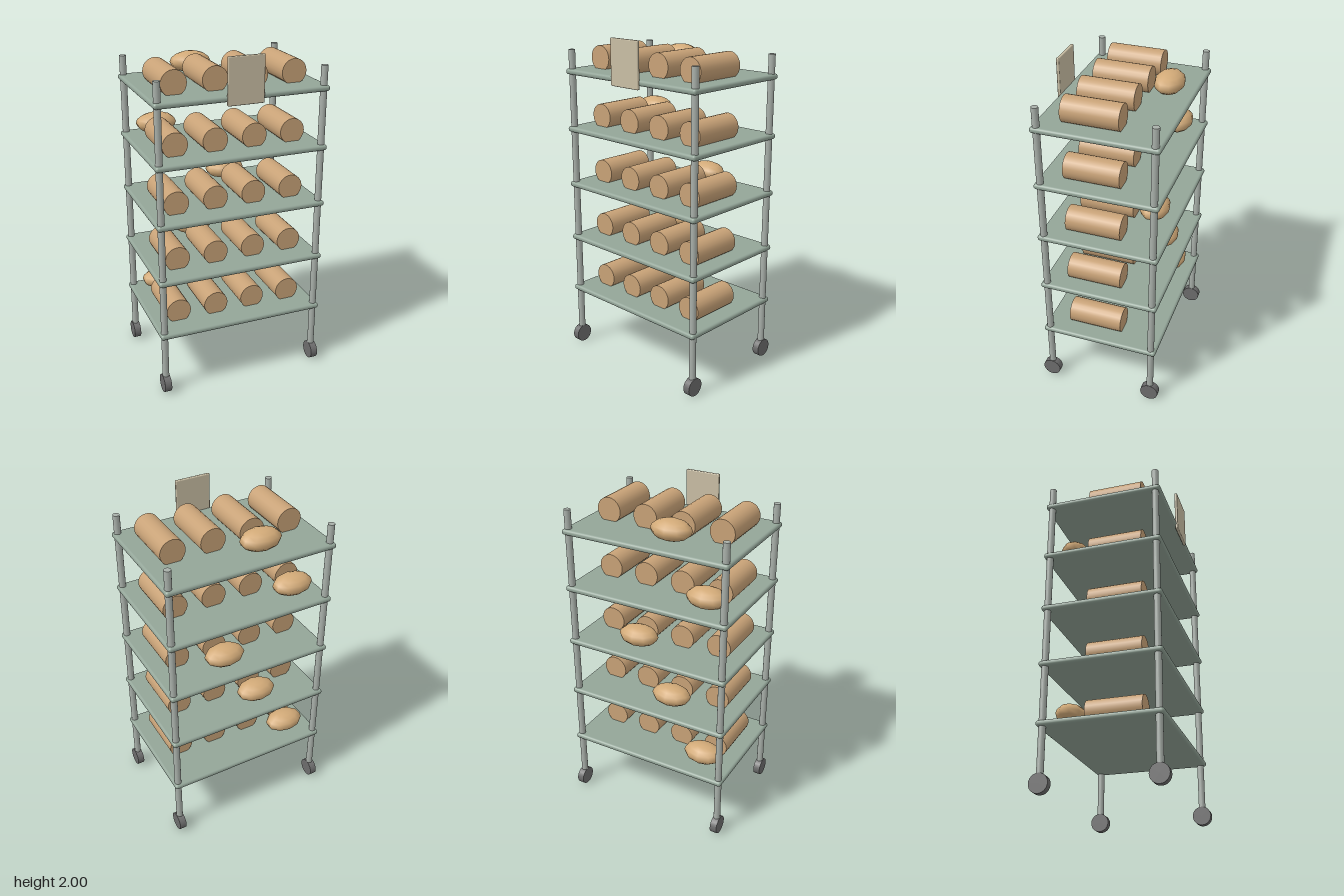
import * as THREE from 'three';
import { RoundedBoxGeometry } from 'three/addons/geometries/RoundedBoxGeometry.js';

const material = (name, color) => {
  const m = new THREE.MeshStandardMaterial({ color });
  m.name = name;
  return m;
};

export function createModel() {
  const model = new THREE.Group();
  model.name = 'breadRack';

  const metal = material('steel', 0xa9b0aa);
  const shelfGreen = material('shelf green', 0x93a598);
  const rubber = material('wheel grey', 0x6c6c6c);
  const crust = material('loaf crust', 0xc8a277);
  const bun = material('round loaf crust', 0xd2aa78);
  const cardBeige = material('card beige', 0xc9bea4);

  const add = (name, geometry, mat, x, y, z, parent = model) => {
    const mesh = new THREE.Mesh(geometry, mat);
    mesh.name = name;
    mesh.position.set(x, y, z);
    parent.add(mesh);
    return mesh;
  };

  // Corner posts on wheels
  const postGeo = new THREE.CylinderGeometry(0.02, 0.02, 1.83, 16);
  const wheelGeo = new THREE.CylinderGeometry(0.055, 0.055, 0.042, 24).rotateZ(Math.PI / 2);
  for (const sx of [-1, 1]) {
    for (const sz of [-1, 1]) {
      add('post', postGeo, metal, sx * 0.486, 0.985, sz * 0.324);
      add('wheel', wheelGeo, rubber, sx * 0.487, 0.055, sz * 0.324);
    }
  }

  // Shelves, each with four long loaves and one round loaf behind them
  const shelfGeo = new RoundedBoxGeometry(1.027, 0.033, 0.713, 3, 0.015);
  const loafGeo = new THREE.CylinderGeometry(0.075, 0.075, 0.326, 24).rotateX(Math.PI / 2);
  const roundGeo = new THREE.SphereGeometry(1, 10, 8).rotateY(Math.PI / 2).scale(0.122, 0.06, 0.086);
  const roundX = [-0.33, -0.11, 0.108, -0.11, -0.33];
  // order from bottom to top shelf
  [roundX[0], roundX[1], roundX[2], roundX[4], roundX[3]].forEach((rx, i) => {
    const tier = new THREE.Group();
    tier.name = 'tier';
    tier.position.y = 0.383 + i * 0.347;
    model.add(tier);
    add('shelf', shelfGeo, shelfGreen, 0, 0, 0, tier);
    for (let k = 0; k < 4; k++) {
      add('longLoaf', loafGeo, crust, -0.358 + k * 0.2375, 0.078, 0.054, tier);
    }
    add('roundLoaf', roundGeo, bun, rx, 0.087, -0.217, tier);
  });

  // Blank card on the front of the top shelf
  add('card', new RoundedBoxGeometry(0.214, 0.266, 0.018, 2, 0.006), cardBeige, 0, 1.867, 0.357);

  return model;
}
